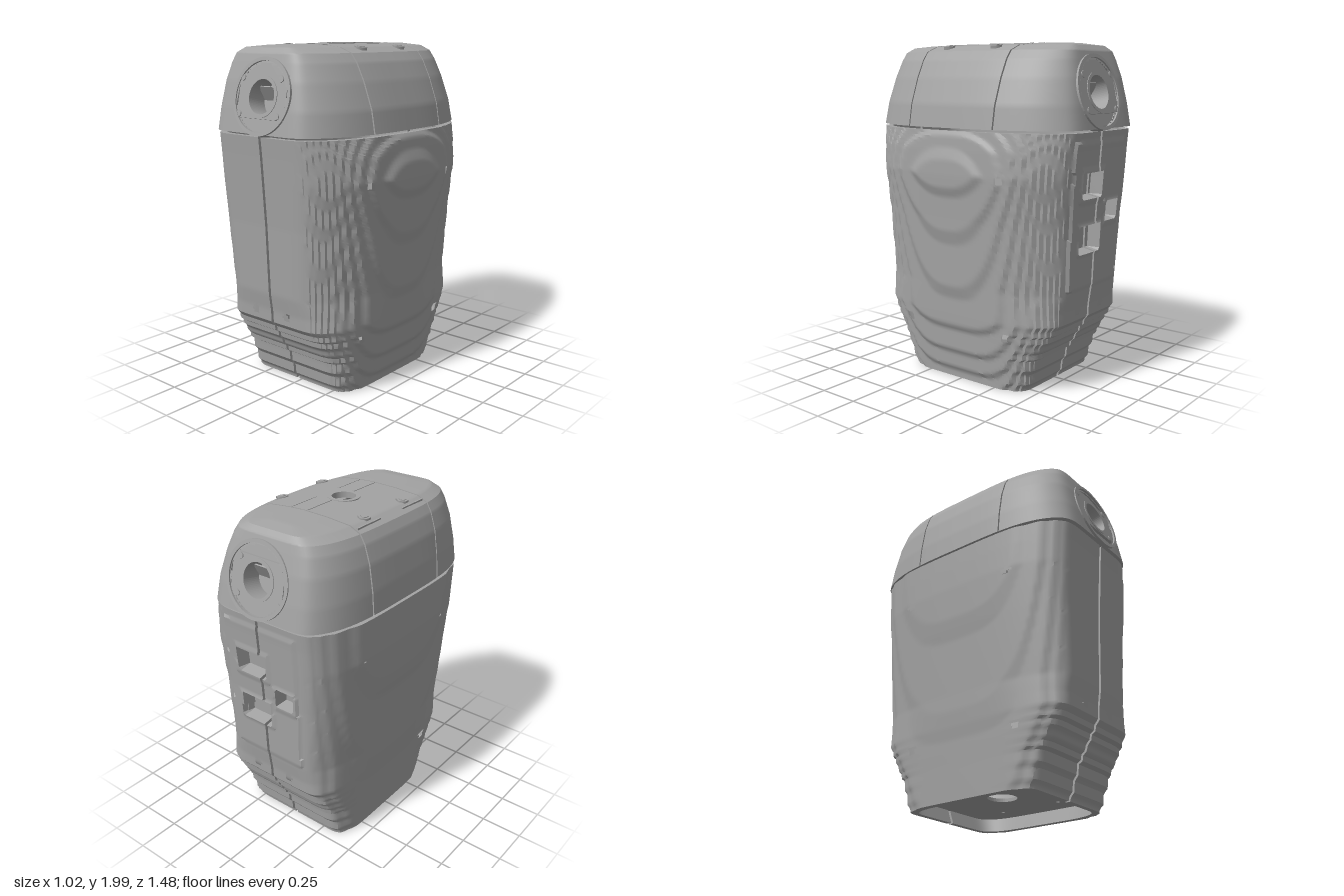
import * as THREE from 'three';
import { toCreasedNormals } from 'three/addons/utils/BufferGeometryUtils.js';

const CX = -0.03; // seam plane between the two halves
const SWELL = 1.07; // rounded section overshoots, then is cut flat at front and back
const clamp = THREE.MathUtils.clamp;

// rows: y, right extent x, left extent x, half depth z
const BODY = [
  [0.01, -0.41, 0.36, 0.435], [0.2, -0.425, 0.40, 0.50], [0.3, -0.435, 0.415, 0.56],
  [0.42, -0.445, 0.435, 0.63], [0.6, -0.455, 0.45, 0.656], [1.0, -0.49, 0.48, 0.672],
  [1.26, -0.51, 0.508, 0.69], [1.4, -0.512, 0.495, 0.70], [1.505, -0.512, 0.47, 0.71],
];
const CAP = [
  [1.52, -0.51, 0.467, 0.722], [1.65, -0.50, 0.445, 0.70], [1.8, -0.477, 0.39, 0.668],
  [1.9, -0.445, 0.34, 0.64], [1.95, -0.415, 0.30, 0.625], [1.98, -0.35, 0.22, 0.60],
  [1.993, -0.2, 0.08, 0.52], [1.998, CX, CX, 0.32],
];

function blend(table, k) {
  const i = Math.min(Math.floor(k), table.length - 2), f = k - i;
  return table[i].map((a, j) => a + (table[i + 1][j] - a) * f);
}
function rowAtHeight(table, y) {
  let i = 0;
  while (i < table.length - 2 && table[i + 1][0] < y) i++;
  return blend(table, i + clamp((y - table[i][0]) / (table[i + 1][0] - table[i][0]), 0, 0.9999));
}
// turns a smooth slope into shallow steps
function terrace(v, step, amount) {
  const t = v / step, f = t - Math.floor(t);
  const s = step * (Math.floor(t) + clamp((f - 0.75) / 0.25, 0, 1) + 0.38);
  return v + (s - v) * amount;
}
// point of a rounded section with half width A and flat ends at depth B, as [x offset, z]
function section(A, B, n, th) {
  const c = Math.max(Math.cos(th), 0), s = Math.abs(Math.sin(th));
  const r = Math.pow(Math.pow(c, n) + Math.pow(s, n), -1 / n);
  const z = B * SWELL * r * s, k = 0.06 * B;
  const h = Math.max(k - Math.abs(z - B), 0) / k;
  return [A * r * c, Math.sign(th) * (Math.min(z, B) - h * h * k / 4)];
}

// thick shell from a rule fn(u, v, inset); skip(point) leaves openings
function shell(fn, nu, nv, skip = () => false) {
  const pos = [], idx = [], n = (nu + 1) * (nv + 1);
  for (const t of [0, 0.035])
    for (let j = 0; j <= nv; j++)
      for (let i = 0; i <= nu; i++) pos.push(...fn(i / nu, j / nv, t));
  const at = (i, j) => j * (nu + 1) + i;
  const quad = (a, b, c, d) => idx.push(a, b, c, a, c, d);
  for (let j = 0; j < nv; j++)
    for (let i = 0; i < nu; i++) {
      const a = at(i, j), b = at(i + 1, j), c = at(i + 1, j + 1), d = at(i, j + 1);
      if (skip([0, 1, 2].map(k => (pos[a * 3 + k] + pos[c * 3 + k]) / 2))) continue;
      quad(a, b, c, d);
      quad(a + n, d + n, c + n, b + n);
    }
  const rim = (a, b) => quad(a, a + n, b + n, b);
  for (let i = 0; i < nu; i++) { rim(at(i, 0), at(i + 1, 0)); rim(at(i + 1, nv), at(i, nv)); }
  for (let j = 0; j < nv; j++) { rim(at(0, j + 1), at(0, j)); rim(at(nu, j), at(nu, j + 1)); }
  const g = new THREE.BufferGeometry();
  g.setAttribute('position', new THREE.Float32BufferAttribute(pos, 3));
  g.setIndex(idx);
  return toCreasedNormals(g, 0.5);
}

// sockets in the rear panel: x, y, half width, half height
const SOCKETS = [[0.03, 1.21, 0.1, 0.07], [0.03, 0.90, 0.1, 0.07], [-0.19, 1.04, 0.055, 0.05]];

function bodyPoint(s, u, v, t) {
  const y = 0.01 + v * 1.495, th = (u - 0.5) * Math.PI;
  const [, xl, xr, b0] = rowAtHeight(BODY, y);
  const square = clamp(1 - y / 0.6, 0, 1);
  const n = (s > 0 ? 2.7 : 3.6) + 2.3 * square;
  const b = y < 0.5 && t === 0 ? terrace(b0, 0.03, 0.7) : b0;
  let [dx, z] = section((s > 0 ? xr - CX : CX - xl) - t, b - t, n, th);
  let x = CX + s * Math.max(dx, 0.009);
  if (t === 0 && s > 0 && x > 0.25) x = terrace(x, 0.025, 0.75);
  if (t === 0 && s < 0 && x < -0.35) x = -terrace(-x, 0.045, 0.3);
  // raised flat rear panel with sunken sockets
  if (z < 0 && Math.abs(x - CX) < 0.25 && y > 0.62 && y < 1.45) {
    const near = m => SOCKETS.some(([sx, sy, w, h]) => Math.abs(x - sx) < w + m && Math.abs(y - sy) < h + m);
    z = -(b0 + 0.006 - t);
    if (near(0.025)) z -= 0.006;
    if (near(0)) z += 0.075;
  }
  return [x, y, z];
}
// through holes for fixings
const bodyHole = ([x, y, z]) =>
  (Math.abs(z) > 0.5 && Math.abs(x) < 0.25 && [-0.16, 0.08].some(h => Math.hypot(x - h, y - 0.48) < 0.026)) ||
  (Math.abs(x) > 0.25 && [1.24, 0.35].some(h => Math.hypot(Math.abs(z) - 0.365, y - h) < 0.026));

function capRow(k, t) {
  const [y, xl, xr, b] = blend(CAP, k * (CAP.length - 1));
  return { y: y - t * clamp((y - 1.52) / 0.3, 0, 1), xl, xr, B: Math.max(b - t, 0.32) };
}
const capWidth = (row, s, t) => Math.max((s > 0 ? row.xr - CX : CX - row.xl) - t, 0);
const capPower = s => (s > 0 ? 2.7 : 3.6);

function domePoint(dir, u, v, t) {
  const row = capRow(v, t), s = u < 0.5 ? 1 : -1, n = capPower(s);
  const q = 0.315 / (row.B * SWELL);
  const start = Math.atan2(q, Math.pow(1 - Math.pow(q, n), 1 / n));
  const th = start + (Math.PI / 2 - start) * (1 - Math.abs(2 * u - 1));
  const [dx, z] = section(capWidth(row, s, t), row.B, n, th);
  return [CX + s * dx, row.y, dir * z];
}
function middlePoint(u, v, t) {
  const s = v < 0.5 ? 1 : -1, row = capRow(1 - Math.abs(2 * v - 1), t), n = capPower(s);
  const z = (u - 0.5) * 0.612;
  const x = capWidth(row, s, t) * Math.pow(1 - Math.pow(Math.abs(z) / (row.B * SWELL), n), 1 / n);
  return [CX + s * x, row.y, z];
}

function circle(r, hole, depth) {
  const shape = new THREE.Shape().absarc(0, 0, r, 0, Math.PI * 2);
  if (hole) shape.holes.push(new THREE.Path().absarc(0, 0, hole, 0, Math.PI * 2, true));
  return new THREE.ExtrudeGeometry(shape, { depth, bevelEnabled: false, curveSegments: 32 });
}

export function createModel() {
  const model = new THREE.Group();
  const grey = new THREE.MeshStandardMaterial({ color: 0xa3a3a3, side: THREE.DoubleSide });
  grey.name = 'grey';
  const add = (name, geo, parent = model, x = 0, y = 0, z = 0) => {
    const m = new THREE.Mesh(geo, grey);
    m.name = name;
    m.position.set(x, y, z);
    parent.add(m);
    return m;
  };

  // lower housing halves
  add('leftBodyShell', shell((u, v, t) => bodyPoint(1, u, v, t), 110, 100, bodyHole));
  add('rightBodyShell', shell((u, v, t) => bodyPoint(-1, u, v, t), 110, 100, bodyHole));

  // top housing: two domes and a middle cover
  const lensHole = ([x, y]) => Math.hypot(x - CX, y - 1.715) < 0.185;
  add('frontDome', shell((u, v, t) => domePoint(1, u, v, t), 60, 56, lensHole));
  add('backDome', shell((u, v, t) => domePoint(-1, u, v, t), 60, 56, lensHole));
  add('middleCover', shell(middlePoint, 40, 112, ([x, y, z]) => y > 1.9 && Math.hypot(x + 0.06, z) < 0.08));

  // lens mounts at both ends
  for (const dir of [1, -1]) {
    const pivot = new THREE.Group();
    pivot.name = dir > 0 ? 'frontLens' : 'backLens';
    pivot.rotation.y = dir > 0 ? 0 : Math.PI;
    model.add(pivot);
    const lens = new THREE.Group();
    lens.name = 'lensMount';
    lens.position.set(CX * dir, 1.72, 0.677);
    lens.rotation.x = -0.22;
    pivot.add(lens);
    add('outerRing', circle(0.215, 0.195, 0.06), lens, 0, 0, -0.045);
    add('mountDisc', circle(0.2, 0.1, 0.03), lens, 0, 0, -0.04);
    const plate = new THREE.Shape([[-0.18, -0.12], [0.18, -0.12], [0.18, 0.12], [-0.18, 0.12]].map(p => new THREE.Vector2(...p)));
    plate.holes.push(new THREE.Path().absarc(0, 0, 0.105, 0, Math.PI * 2, true));
    add('mountPlate', new THREE.ExtrudeGeometry(plate, { depth: 0.018, bevelEnabled: false, curveSegments: 32 }), lens, 0, 0, -0.012);
    add('lensTube', circle(0.115, 0.095, 0.12), lens, 0, 0, -0.11);
    add('lensBack', circle(0.11, 0, 0.01), lens, 0, 0, -0.12);
    add('lensHood', new THREE.BoxGeometry(0.17, 0.09, 0.008), lens, 0, 0.03, -0.075).rotation.x = 0.75;
    for (const x of [-0.16, 0.13])
      for (const y of [-0.1, 0.1])
        add('mountScrew', new THREE.CylinderGeometry(0.02, 0.02, 0.016, 6), lens, x * dir, y, 0.004).rotation.x = Math.PI / 2;
  }

  // top fixings, centre collar and ridges
  add('topCollar', circle(0.092, 0.068, 0.035), model, -0.06, 2.0, 0).rotation.x = Math.PI / 2;
  for (const z of [-0.175, 0.175])
    for (const [x, y, lean] of [[-0.33, 1.98, 0.1], [0.24, 1.972, -0.15]]) {
      add('topScrew', new THREE.CylinderGeometry(0.036, 0.036, 0.02, 6), model, x, y, z).rotation.z = lean;
      add('topScrewHead', new THREE.CylinderGeometry(0.022, 0.022, 0.028, 6), model, x, y, z).rotation.z = lean;
    }
  for (const [x, y] of [[-0.38, 1.966], [-0.05, 1.994], [0.06, 1.99]])
    for (const side of [-1, 1])
      add('topRidge', new THREE.BoxGeometry(0.01, 0.012, 0.2), model, x, y, side * 0.2);

  // recessed base plate following the inside of the housing
  const outline = [];
  for (let i = 0; i <= 40; i++) outline.push(bodyPoint(1, i / 40, 0.06, 0.03));
  for (let i = 40; i >= 0; i--) outline.push(bodyPoint(-1, i / 40, 0.06, 0.03));
  const base = new THREE.Shape(outline.map(([x, , z]) => new THREE.Vector2(x, z)));
  for (const [x, z, r] of [[-0.06, 0, 0.085], [0.0, 0.28, 0.045], [-0.25, 0.2, 0.012], [0.2, 0.2, 0.012], [-0.25, -0.2, 0.012], [0.2, -0.2, 0.012]])
    base.holes.push(new THREE.Path().absarc(x, z, r, 0, Math.PI * 2, true));
  add('basePlate', new THREE.ExtrudeGeometry(base, { depth: 0.02, bevelEnabled: false, curveSegments: 20 }), model, 0, 0.11, 0).rotation.x = Math.PI / 2;

  return model;
}
